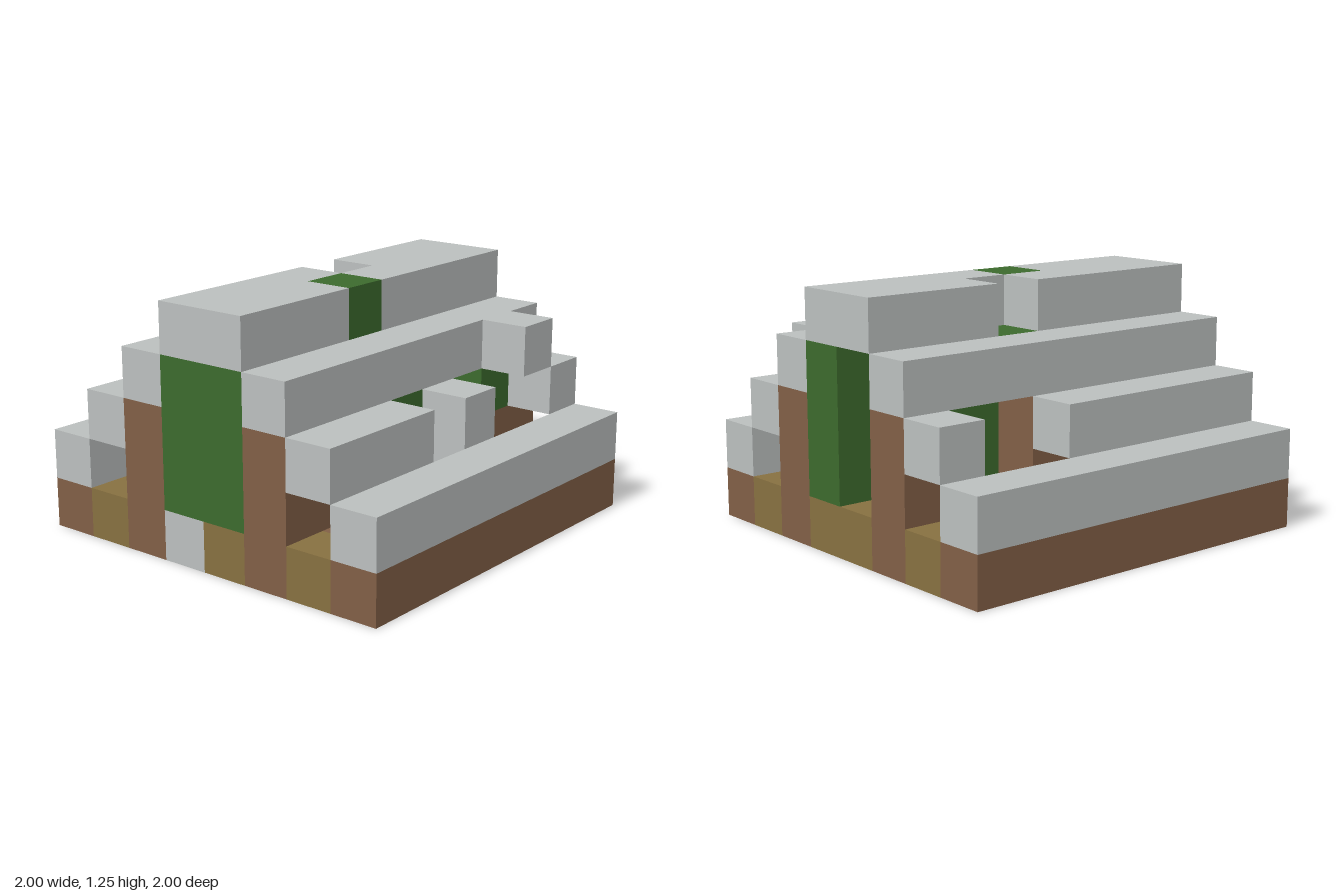
import * as THREE from 'three';

const U = 0.25; // size of one block

const makeMaterial = (name, color) => {
  const m = new THREE.MeshStandardMaterial({ color });
  m.name = name;
  return m;
};

export function createModel() {
  const group = new THREE.Group();
  group.name = 'steppedHut';
  const materials = {
    s: makeMaterial('stone', 0xbbbfbe),
    w: makeMaterial('wood', 0x815f46),
    g: makeMaterial('leaf', 0x3c6a2d),
    d: makeMaterial('dirt', 0x877040),
  };

  // Each row runs along x, from -x to +x; each run of equal letters becomes one box
  function row(name, layer, depth, cells, tall = 1) {
    for (let i = 0; i < cells.length;) {
      let end = i + 1;
      while (end < cells.length && cells[end] === cells[i]) end++;
      const material = materials[cells[i]];
      if (material) {
        const mesh = new THREE.Mesh(new THREE.BoxGeometry((end - i) * U, tall * U, U), material);
        mesh.position.set((i + end) / 2 * U - 1, (layer + tall / 2) * U, (depth + 0.5) * U - 1);
        mesh.name = name;
        group.add(mesh);
      }
      i = end;
    }
  }

  // Floor, from back to front
  [
    'wwwwwwww',
    'ddwwdwwd',
    'wwwdwddw',
    'sddddddd',
    'dddddddd',
    'wwdwwwdw',
    'dwdwdwwd',
    'wwwwwwww',
  ].forEach((cells, depth) => row('floor', 0, depth, cells));

  // Low outer steps
  for (const depth of [0, 7]) row('outerStep', 1, depth, 'ssssssss');

  // Passages under the middle steps
  row('passageBlock', 1, 1, '...w....');
  row('frontPost', 1, 6, '....s...');

  // Middle steps with gaps at the doorways
  row('backStep', 2, 1, 'sssss..s');
  row('frontStep', 2, 6, 'sss.s..s');
  row('porchBlock', 3, 6, '......s.');

  // Walls with doorways
  row('backWall', 1, 2, 'wwwww..w', 2);
  row('frontWall', 1, 5, 'wwg...ww');
  row('frontWall', 2, 5, 'wwg...gw');

  // Leafy core, set back at one corner
  row('core', 1, 3, 'ggggggg.', 3);
  row('core', 1, 4, 'gggggwgg');
  row('core', 2, 4, 'gggggggg', 2);

  // Upper steps and ridge
  for (const depth of [2, 5]) row('upperStep', 3, depth, 'ssssssss');
  row('ridgeBack', 4, 3, 'ssss.sss');
  row('ridgeFront', 4, 4, 'sssgssss');

  return group;
}
